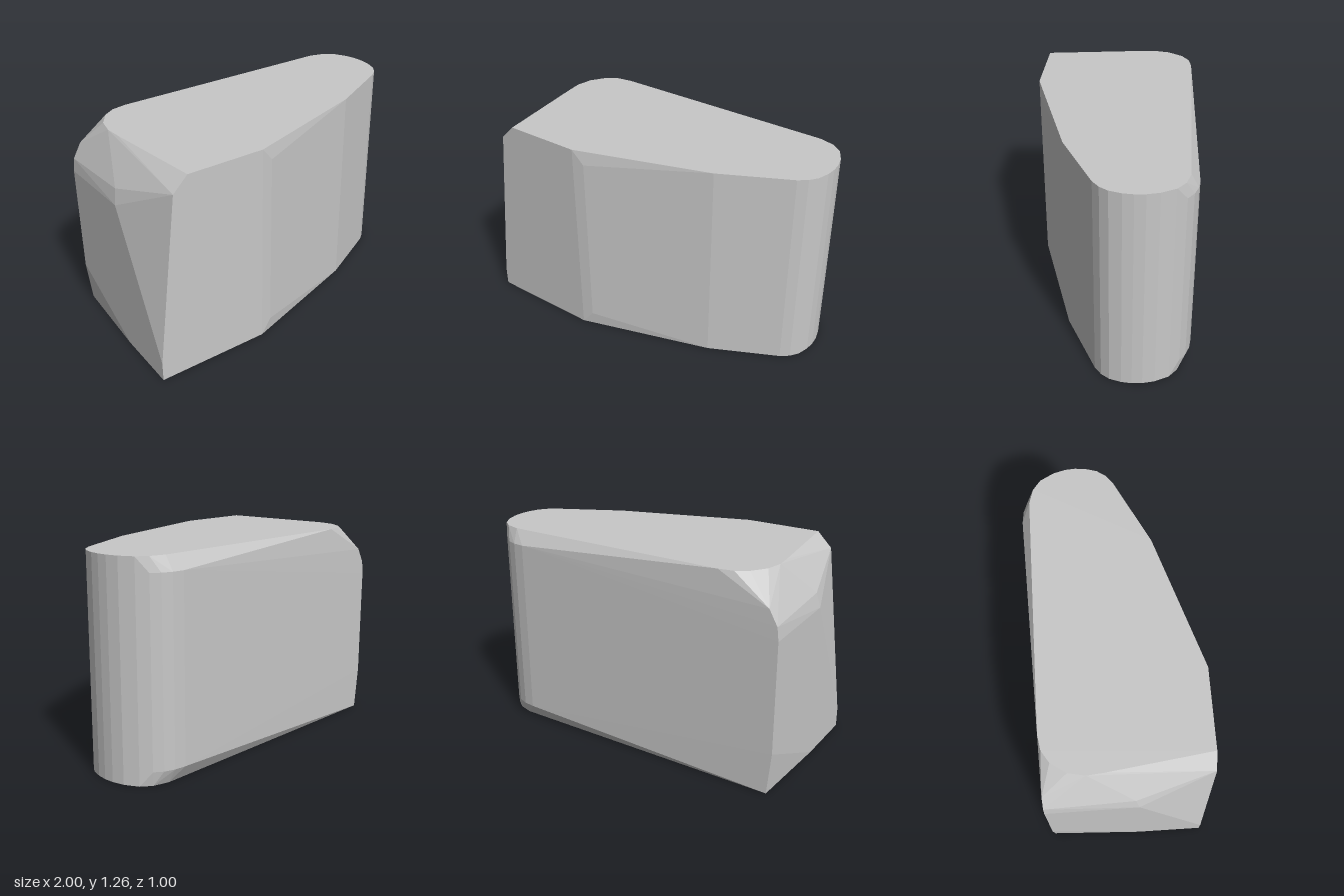
import * as THREE from 'three';
import { ConvexGeometry } from 'three/addons/geometries/ConvexGeometry.js';

const HEIGHT = 1.26;

// Places a plan outline of [x, z] pairs at each given height
const layer = (outline, heights) =>
  heights.flatMap((y) => outline.map(([x, z]) => new THREE.Vector3(x, y, z)));

export function createModel() {
  const group = new THREE.Group();
  group.name = 'wedgeBlock';
  const grey = new THREE.MeshStandardMaterial({ color: 0xc8c8c8 });
  grey.name = 'plainGrey';

  // Front slope and rounded nose, running the full height
  const side = [
    [-0.31, 0.5], [0.49, 0.25], [0.89, 0.05], [0.94, 0.01], [0.975, -0.04],
    [0.995, -0.11], [1, -0.17], [0.995, -0.23], [0.975, -0.3], [0.93, -0.38],
    [0.87, -0.425], [0.78, -0.45],
  ];

  // Fuller middle, leaving bevels along the back and at the front bend
  const belly = [
    [-0.24, 0.488], [0.93, -0.38], [0.88, -0.435], [0.83, -0.47], [0.77, -0.492], [0.7, -0.5],
  ];

  // Rounded corner of the top face
  const topCorner = [
    [-0.78, 0.5], [-0.86, -0.1], [-0.87, -0.2], [-0.85, -0.3],
    [-0.79, -0.39], [-0.72, -0.435], [-0.63, -0.45],
  ];

  // Left edge of the base, bent slightly outwards
  const baseEdge = [[-1, 0.5], [-1, 0.1], [-0.975, -0.448]];

  // Chamfered left end
  const leftEnd = [
    [-1, 0.12, 0.5], [-0.87, 1.17, 0.5],
    [-1, 0.95, 0.08], [-0.98, 1.04, 0.06],
    [-1, 0.26, -0.45], [-1, 0.93, -0.45], [-0.99, 1.01, -0.45], [-0.94, 1.1, -0.45],
  ].map((p) => new THREE.Vector3(...p));

  const body = new THREE.Mesh(
    new ConvexGeometry([
      ...layer(side, [0, HEIGHT]),
      ...layer(belly, [0.085, HEIGHT - 0.085]),
      ...layer(topCorner, [HEIGHT]),
      ...layer(baseEdge, [0]),
      ...leftEnd,
    ]),
    grey,
  );
  body.name = 'body';
  group.add(body);
  return group;
}
